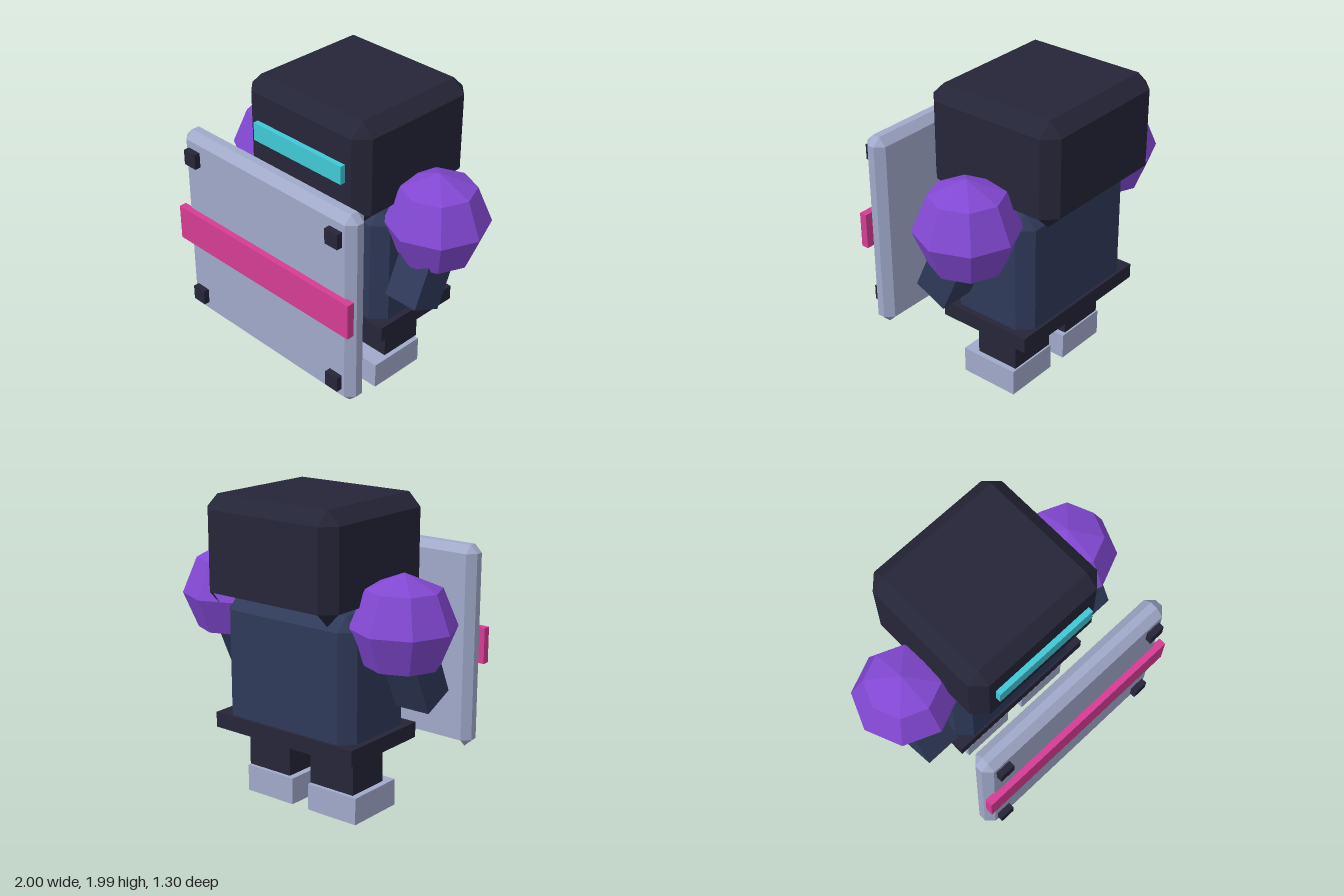
import * as THREE from 'three';
import { ConvexGeometry } from 'three/addons/geometries/ConvexGeometry.js';

function makeMaterial(name, color) {
  const m = new THREE.MeshStandardMaterial({ color, flatShading: true, side: THREE.DoubleSide });
  m.name = name;
  return m;
}

// Leave the underside open: drop every triangle that faces down
function openUnderside(geometry) {
  const g = geometry.index ? geometry.toNonIndexed() : geometry;
  const p = g.attributes.position;
  const tri = new THREE.Triangle();
  const n = new THREE.Vector3();
  const kept = [];
  for (let i = 0; i < p.count; i += 3) {
    tri.setFromAttributeAndIndices(p, i, i + 1, i + 2);
    if (tri.getArea() < 1e-8) continue;
    tri.getNormal(n);
    if (n.y > -0.65) kept.push(...tri.a.toArray(), ...tri.b.toArray(), ...tri.c.toArray());
  }
  const out = new THREE.BufferGeometry();
  out.setAttribute('position', new THREE.Float32BufferAttribute(kept, 3));
  out.computeVertexNormals();
  return out;
}

// Box with every edge cut by c
function chamferBox(w, h, d, c) {
  const pts = [];
  for (const x of [-1, 1]) for (const y of [-1, 1]) for (const z of [-1, 1]) {
    const [a, b, e] = [w / 2, h / 2, d / 2];
    pts.push(
      new THREE.Vector3(x * a, y * (b - c), z * (e - c)),
      new THREE.Vector3(x * (a - c), y * b, z * (e - c)),
      new THREE.Vector3(x * (a - c), y * (b - c), z * e)
    );
  }
  return new ConvexGeometry(pts);
}

export function createModel() {
  const model = new THREE.Group();
  model.name = 'shieldBearer';

  const dark = makeMaterial('charcoal', 0x252538);
  const navy = makeMaterial('navy cloth', 0x2f3a59);
  const steel = makeMaterial('pale steel', 0xa0a9c9);
  const purple = makeMaterial('purple', 0x8248d2);
  const pink = makeMaterial('pink', 0xd63c93);
  const cyan = makeMaterial('cyan', 0x40c8d6);

  function add(name, geometry, material, x, y, z, tilt = 0) {
    geometry.rotateX(tilt).translate(x, y, z);
    const mesh = new THREE.Mesh(openUnderside(geometry), material);
    mesh.name = name;
    model.add(mesh);
  }

  // Box given by its limits, optionally chamfered
  function block(name, material, [x0, x1], [y0, y1], [z0, z1], chamfer = 0) {
    const size = [x1 - x0, y1 - y0, z1 - z0];
    const g = chamfer ? chamferBox(...size, chamfer) : new THREE.BoxGeometry(...size);
    add(name, g, material, (x0 + x1) / 2, (y0 + y1) / 2, (z0 + z1) / 2);
  }

  // Head, visor and neck
  block('head', dark, [-0.505, 0.505], [1.315, 1.99], [-0.65, 0.3], 0.085);
  block('visor', cyan, [-0.37, 0.37], [1.605, 1.725], [0.28, 0.335]);
  add('neck', new THREE.CylinderGeometry(0.2, 0.2, 0.2, 8), dark, 0, 1.38, -0.17);

  // Body
  block('torso', navy, [-0.505, 0.505], [0.45, 1.34], [-0.475, 0.135], 0.085);
  block('belt', dark, [-0.545, 0.545], [0.465, 0.565], [-0.495, 0.15]);

  // Limbs, mirrored
  for (const [side, s] of [['left', 1], ['right', -1]]) {
    const span = (a, b) => (s > 0 ? [a, b] : [-b, -a]);
    add(side + 'Shoulder', new THREE.SphereGeometry(0.325, 8, 4), purple, s * 0.675, 1.275, -0.175);
    add(side + 'Arm', new THREE.BoxGeometry(0.24, 0.5, 0.23), navy, s * 0.675, 1.01, -0.073, -0.426);
    block(side + 'Leg', dark, span(0.085, 0.42), [0.19, 0.52], [-0.32, -0.02]);
    block(side + 'Foot', steel, span(0.065, 0.44), [0, 0.175], [-0.32, 0.085]);
  }

  // Shield with stripe and corner rivets
  block('shield', steel, [-0.73, 0.73], [0.33, 1.645], [0.46, 0.61], 0.05);
  block('shieldStripe', pink, [-0.745, 0.745], [0.87, 1.105], [0.6, 0.65]);
  for (const x of [-0.61, 0.61]) for (const y of [0.48, 1.495]) {
    block('shieldRivet', dark, [x - 0.05, x + 0.05], [y - 0.05, y + 0.05], [0.6, 0.65]);
  }

  return model;
}
